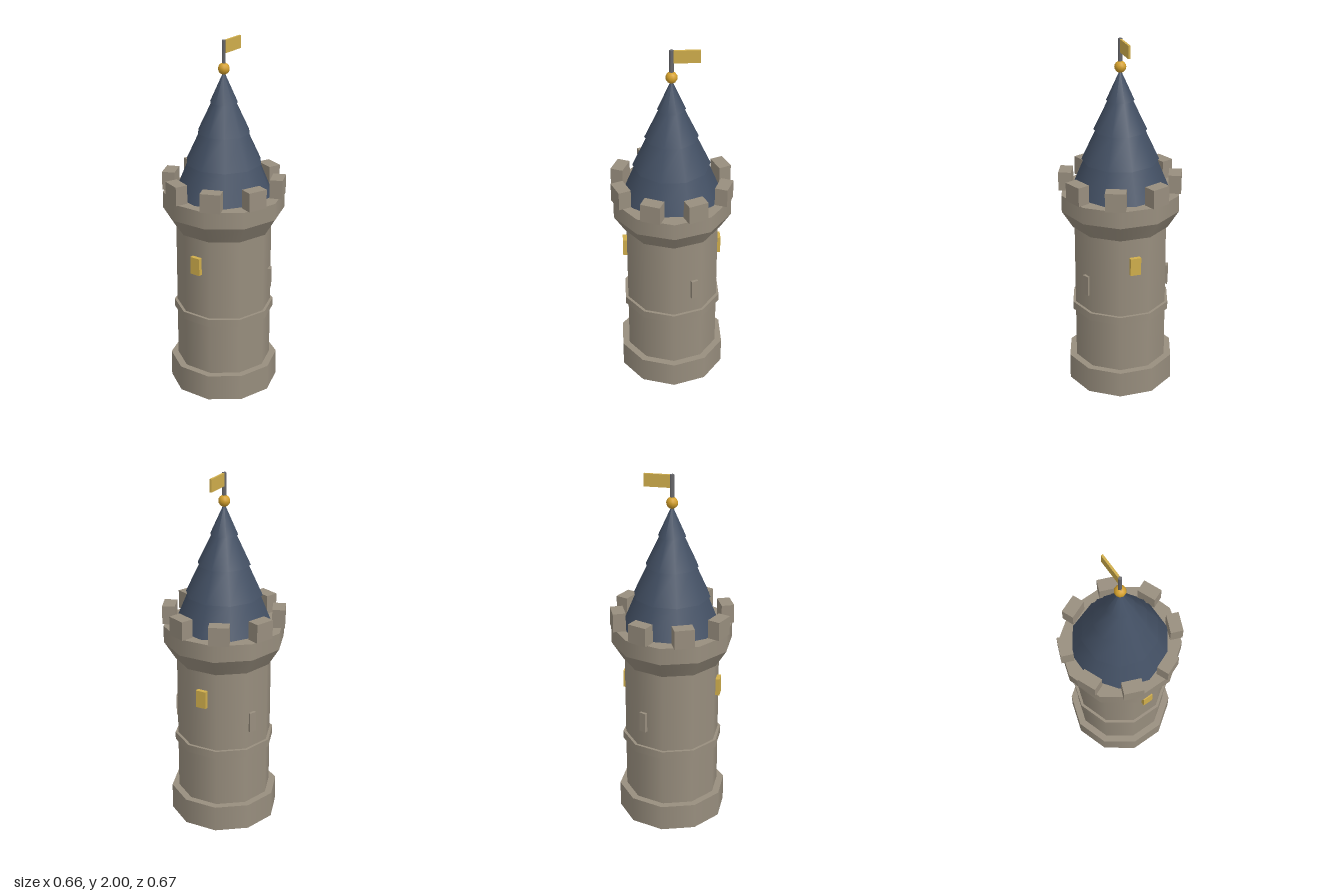
import * as THREE from 'three';

const SIDES = 10;

export function createModel() {
  const mat = (name, color, side = THREE.FrontSide) =>
    Object.assign(new THREE.MeshStandardMaterial({ color, side }), { name });
  const stone = mat('stone', 0x988e7e, THREE.DoubleSide);
  const slate = mat('slate', 0x435064);
  const gold = mat('gold', 0xd4a02c);
  const paleGold = mat('paleGold', 0xd0ae4c);
  const iron = mat('iron', 0x6c6c70);

  const tower = new THREE.Group();
  tower.name = 'tower';
  const add = (name, geometry, material, x = 0, y = 0, z = 0, turn = 0) => {
    const mesh = new THREE.Mesh(geometry, material);
    mesh.name = name;
    mesh.position.set(x, y, z);
    mesh.rotation.y = turn;
    tower.add(mesh);
    return mesh;
  };
  // Ten-sided drum or cone section between two heights
  const drum = (name, rBottom, rTop, y0, y1, material = stone, turn = 0, open = false) =>
    add(name, new THREE.CylinderGeometry(rTop, rBottom, y1 - y0, SIDES, 1, open),
      material, 0, (y0 + y1) / 2, 0, turn);

  // Hollow plinth: outer wall, inner wall and flat rims
  drum('plinthOuter', 0.305, 0.305, 0, 0.15, stone, 0, true);
  drum('plinthInner', 0.265, 0.265, 0, 0.15, stone, 0, true);
  for (const [y, tilt] of [[0, 1], [0.15, -1]]) {
    const rim = new THREE.RingGeometry(0.265, 0.305, SIDES, 1, Math.PI / 2);
    rim.rotateX(tilt * Math.PI / 2);
    add('plinthRim', rim, stone, 0, y, 0);
  }

  // Shaft, string course, flared corbel and parapet
  drum('shaft', 0.265, 0.265, 0.15, 1.0);
  drum('stringCourse', 0.281, 0.281, 0.45, 0.495);
  drum('corbel', 0.274, 0.336, 0.96, 1.06);
  drum('parapet', 0.336, 0.336, 1.06, 1.155);

  // Eight battlement blocks
  for (let i = 0; i < 8; i++) {
    const a = (i + 0.5) * Math.PI / 4;
    add('merlon', new THREE.BoxGeometry(0.11, 0.105, 0.07), stone,
      0.301 * Math.sin(a), 1.2075, 0.301 * Math.cos(a), a);
  }

  // Arrow slits, one at the front and one at the back
  for (const a of [0.46, Math.PI - 0.46]) {
    add('arrowSlit', new THREE.BoxGeometry(0.04, 0.115, 0.04), stone,
      0.25 * Math.sin(a), 0.65, 0.25 * Math.cos(a), a);
  }

  // Lit windows on both sides
  for (const s of [-1, 1]) {
    add('window', new THREE.BoxGeometry(0.04, 0.1, 0.06), paleGold, s * 0.255, 0.8, 0);
  }

  // Roof in four overlapping tiers
  const tiers = [
    [0.272, 0.2, 1.155, 1.33],
    [0.212, 0.133, 1.33, 1.5],
    [0.145, 0.067, 1.5, 1.665],
    [0.076, 0.002, 1.665, 1.83],
  ];
  for (const [r0, r1, y0, y1] of tiers) drum('roofTier', r0, r1, y0, y1, slate, Math.PI / SIDES);

  // Finial, pole and flag
  add('finial', new THREE.SphereGeometry(0.032, 10, 8), gold, 0, 1.847, 0);
  add('pole', new THREE.CylinderGeometry(0.012, 0.012, 0.18, 4), iron, 0, 1.91, 0);
  add('flag', new THREE.BoxGeometry(0.14, 0.07, 0.012), paleGold, 0.08, 1.963, 0);

  return tower;
}
